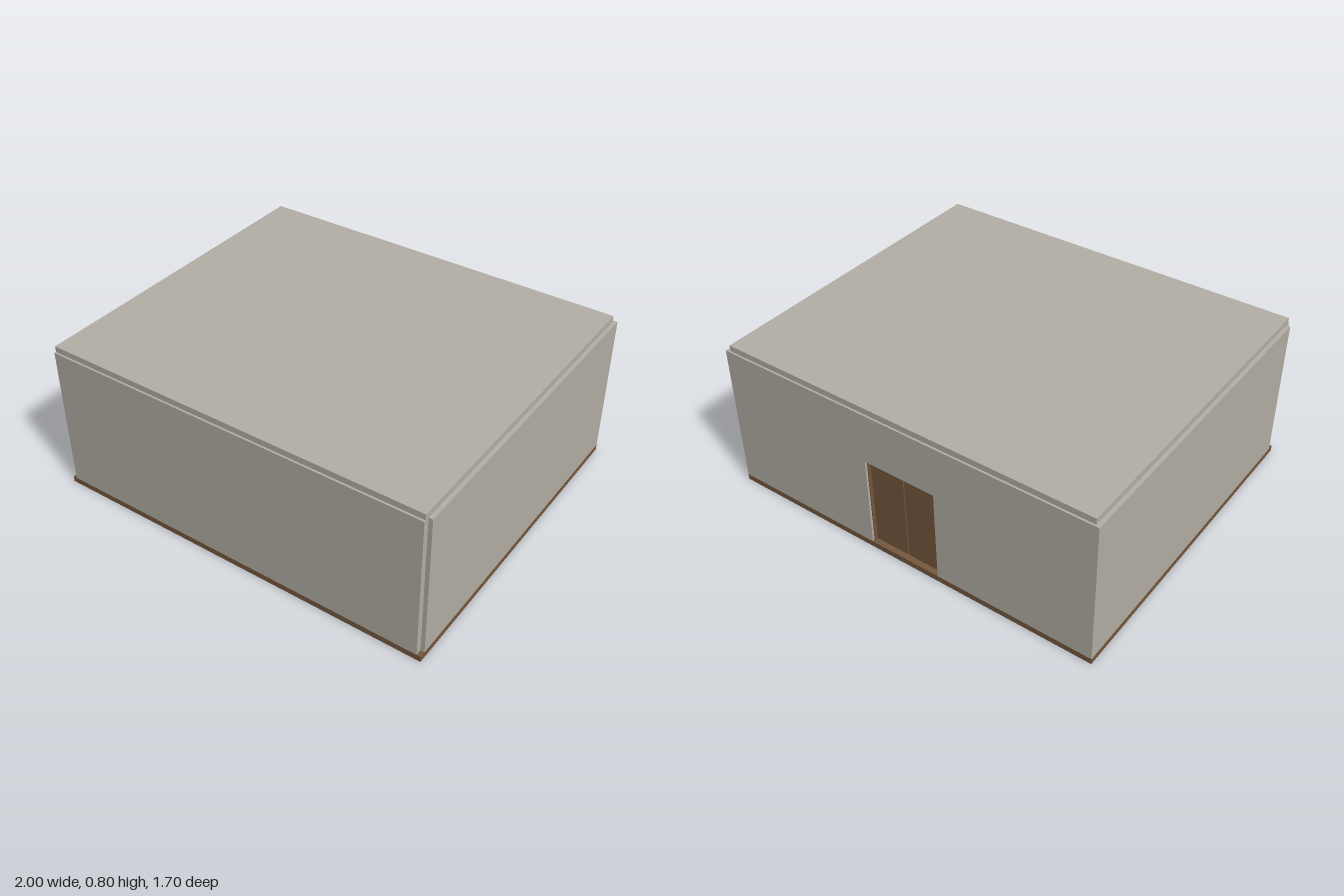
import * as THREE from 'three';

export function createModel() {
  const model = new THREE.Group();
  model.name = 'building';
  const plaster = new THREE.MeshStandardMaterial({ color: 0xb3aea5 });
  plaster.name = 'warm grey plaster';
  const wood = new THREE.MeshStandardMaterial({ color: 0x75573c });
  wood.name = 'brown wood';

  // Box given by its minimum and maximum corners
  function box(name, material, [x0, y0, z0], [x1, y1, z1]) {
    const mesh = new THREE.Mesh(new THREE.BoxGeometry(x1 - x0, y1 - y0, z1 - z0), material);
    mesh.position.set((x0 + x1) / 2, (y0 + y1) / 2, (z0 + z1) / 2);
    mesh.name = name;
    model.add(mesh);
  }

  const floorTop = 0.03, wallTop = 0.77, halfDepth = 0.85;
  const doorHalf = 0.19, doorTop = 0.51;

  // Floor slab and inset roof slab
  box('floor', wood, [-1, 0, -halfDepth], [1, floorTop, halfDepth]);
  box('roof', plaster, [-0.98, wallTop, -0.84], [0.98, 0.8, 0.84]);

  // Front wall stops short of the side walls, leaving notched corners
  box('frontWall', plaster, [-0.98, floorTop, 0.82], [0.98, wallTop, halfDepth]);
  box('leftWall', plaster, [0.97, floorTop, -0.82], [1, wallTop, 0.82]);
  box('rightWall', plaster, [-1, floorTop, -0.82], [-0.97, wallTop, 0.82]);

  // Back wall with a doorway open to the floor
  const outline = new THREE.Shape([
    [-1, floorTop], [-doorHalf, floorTop], [-doorHalf, doorTop], [doorHalf, doorTop],
    [doorHalf, floorTop], [1, floorTop], [1, wallTop], [-1, wallTop],
  ].map(([x, y]) => new THREE.Vector2(x, y)));
  const backWall = new THREE.Mesh(
    new THREE.ExtrudeGeometry(outline, { depth: 0.03, bevelEnabled: false }), plaster);
  backWall.position.z = -halfDepth;
  backWall.name = 'backWall';
  model.add(backWall);

  // Recessed double door with a narrow dividing groove
  for (const side of [-1, 1]) {
    const xs = [side * 0.003, side * doorHalf].sort((a, b) => a - b);
    box(side > 0 ? 'leftDoor' : 'rightDoor', wood,
      [xs[0], floorTop, -0.82], [xs[1], doorTop, -0.8]);
    // Thin wooden lining against the jambs
    const js = [side * (doorHalf - 0.004), side * doorHalf].sort((a, b) => a - b);
    box('doorJamb', wood, [js[0], floorTop, -0.838], [js[1], doorTop, -0.82]);
  }
  box('doorHead', wood, [-doorHalf, doorTop - 0.004, -0.838], [doorHalf, doorTop, -0.82]);
  box('doorBacking', wood, [-doorHalf, floorTop, -0.8], [doorHalf, doorTop, -0.79]);

  return model;
}
